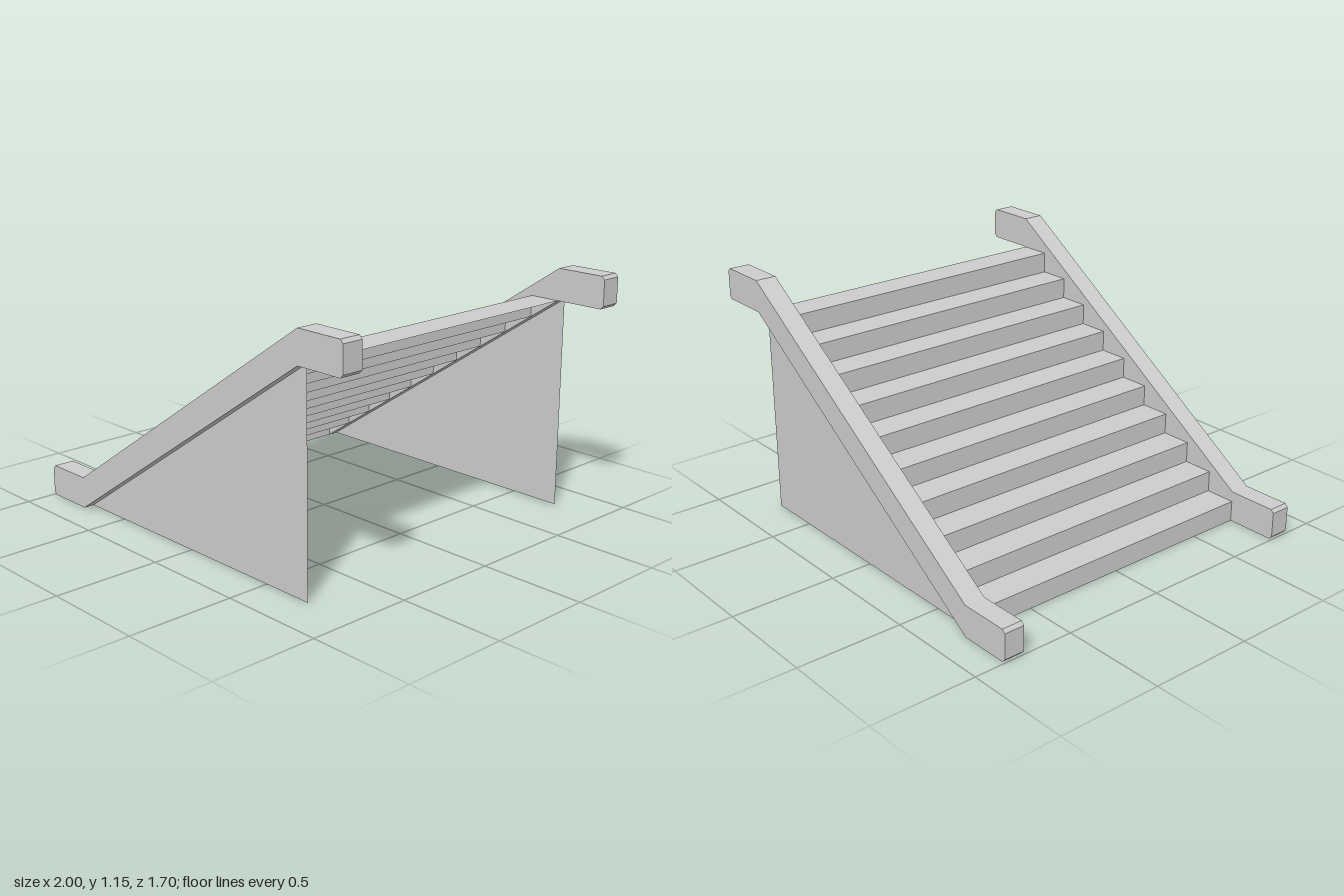
import * as THREE from 'three';

const STEPS = 10;
const RISE = 0.1;
const RUN = 0.15;
const WIDTH = 1.5;
const HALF = STEPS * RUN / 2;
const TOP = STEPS * RISE;

const solid = new THREE.MeshStandardMaterial({ color: 0xcccccc, flatShading: true });
const sheet = new THREE.MeshStandardMaterial({ color: 0xcccccc, flatShading: true, side: THREE.DoubleSide });

function shapeFrom(points) {
  return new THREE.Shape(points.map(([x, y]) => new THREE.Vector2(x, y)));
}

function addMesh(parent, name, geometry, material, x, y, z) {
  const mesh = new THREE.Mesh(geometry, material);
  mesh.name = name;
  mesh.position.set(x, y, z);
  parent.add(mesh);
}

export function createModel() {
  const model = new THREE.Group();
  model.name = 'staircase';

  // Thin treads and risers, open underneath
  const stairs = new THREE.Group();
  stairs.name = 'stairs';
  model.add(stairs);
  const tread = new THREE.PlaneGeometry(RUN, WIDTH).rotateX(-Math.PI / 2);
  const riser = new THREE.PlaneGeometry(WIDTH, RISE).rotateY(-Math.PI / 2);
  for (let i = 0; i < STEPS; i++) {
    const x = -HALF + i * RUN;
    addMesh(stairs, 'riser', riser, sheet, x, (i + 0.5) * RISE, 0);
    addMesh(stairs, 'tread', tread, sheet, x + RUN / 2, (i + 1) * RISE, 0);
  }

  // Sloping side rail with level, chamfered ends
  const h = 0.15, c = 0.015, thick = 0.1;
  const rail = new THREE.ExtrudeGeometry(shapeFrom([
    [-1 + c, 0], [-HALF, 0], [HALF, TOP], [1 - c, TOP],
    [1, TOP + c], [1, TOP + h - c], [1 - c, TOP + h],
    [HALF, TOP + h], [-HALF, h], [-1 + c, h], [-1, h - c], [-1, c],
  ]), { depth: thick, bevelEnabled: false }).translate(0, 0, -thick / 2);

  // Triangular side wall under the middle of each rail
  const wall = new THREE.ShapeGeometry(shapeFrom([[-HALF, 0], [HALF, 0], [HALF, TOP]]));

  for (const [side, name] of [[1, 'front'], [-1, 'back']]) {
    const z = side * (WIDTH + thick) / 2;
    addMesh(model, name + 'Rail', rail, solid, 0, 0, z);
    addMesh(model, name + 'Wall', wall, sheet, 0, 0, z);
  }

  return model;
}
